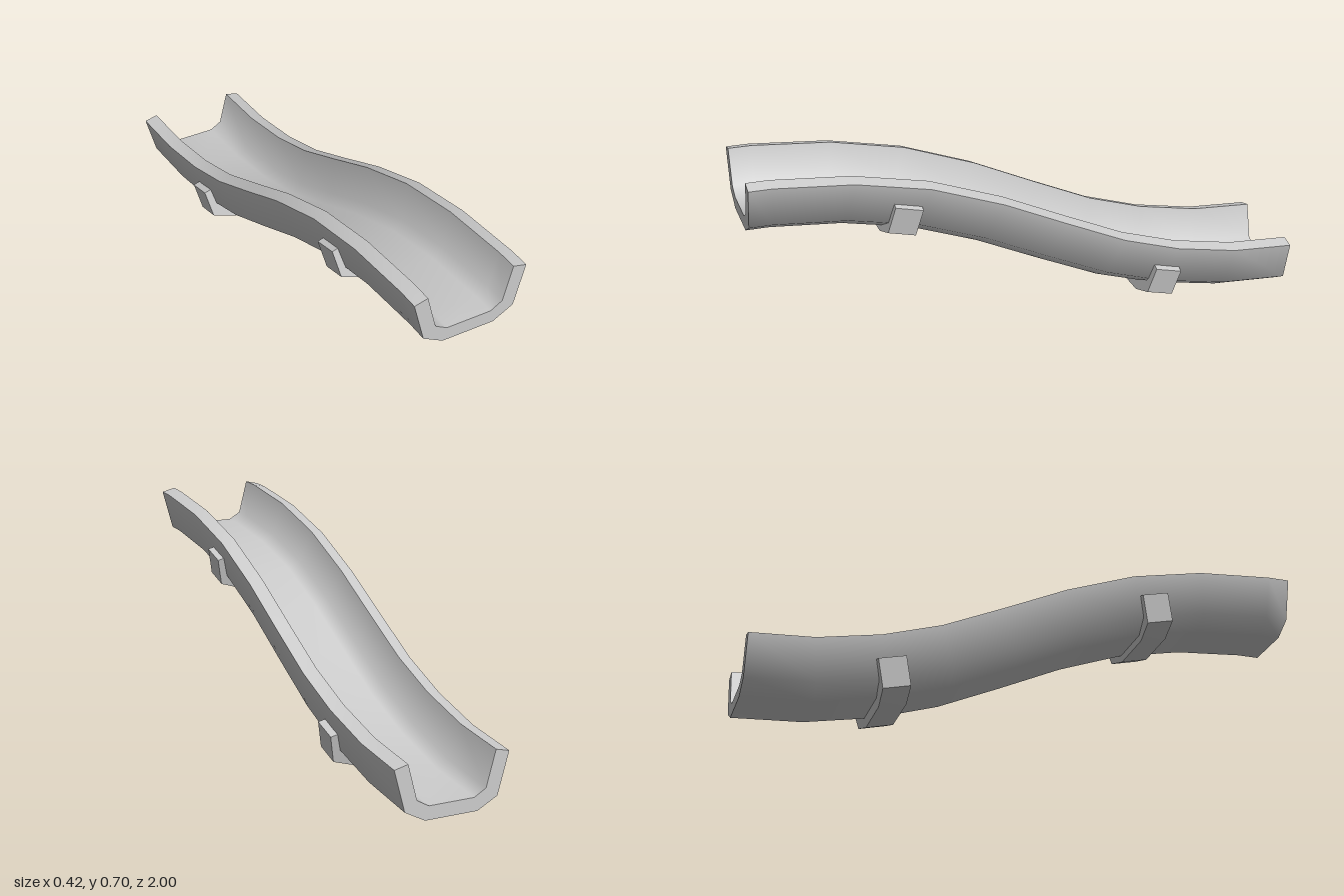
import * as THREE from 'three';
import { toCreasedNormals } from 'three/addons/utils/BufferGeometryUtils.js';

// Closed U-shaped section from the right half (+x) of its outer and inner outlines
function channelSection(outer, inner) {
  const mirror = (pts) => pts.map(([x, h]) => [-x, h]).reverse();
  const innerDown = [...inner].reverse();
  return [...mirror(outer), ...outer, ...innerDown, ...mirror(innerDown)]
    .map(([x, h]) => new THREE.Vector2(x, h));
}

// Sweep a section along stations [z, y, tilt] running from front (+z) to back
function sweep(section, stations, crease) {
  const n = section.length;
  const positions = [];
  const index = [];
  for (const [z, y, tilt] of stations) {
    for (const p of section) {
      positions.push(p.x, y + p.y * Math.cos(tilt), z - p.y * Math.sin(tilt));
    }
  }
  for (let i = 0; i < stations.length - 1; i++) {
    for (let j = 0; j < n; j++) {
      const a = i * n + j;
      const b = i * n + (j + 1) % n;
      index.push(a, a + n, b, b, a + n, b + n);
    }
  }
  // end caps
  const last = (stations.length - 1) * n;
  for (const [a, b, c] of THREE.ShapeUtils.triangulateShape(section, [])) {
    index.push(a, b, c, last + a, last + c, last + b);
  }
  const geometry = new THREE.BufferGeometry();
  geometry.setAttribute('position', new THREE.Float32BufferAttribute(positions, 3));
  geometry.setIndex(index);
  return toCreasedNormals(geometry, crease);
}

export function createModel() {
  const group = new THREE.Group();
  const material = new THREE.MeshStandardMaterial({ color: 0xcccccc });
  const add = (name, geometry) => {
    const mesh = new THREE.Mesh(geometry, material);
    mesh.name = name;
    group.add(mesh);
  };

  // Chute: S-curved channel, each section square to the path
  const path = [
    [1, 0.502], [0.92, 0.502], [0.67, 0.48], [0.43, 0.43], [0.19, 0.342],
    [-0.04, 0.236], [-0.27, 0.134], [-0.5, 0.062], [-0.75, 0.015], [-1, 0],
  ];
  const stations = path.map(([z, y], i) => {
    if (i < 2 || i === path.length - 1) return [z, y, 0];
    const [z0, y0] = path[i - 1];
    const [z1, y1] = path[i + 1];
    return [z, y, Math.atan2(y0 - y1, z0 - z1)];
  });
  const chuteSection = channelSection(
    [[0.095, 0], [0.168, 0.04], [0.207, 0.187]],
    [[0.082, 0.048], [0.125, 0.073], [0.158, 0.199]],
  );
  add('chute', sweep(chuteSection, stations, 1.05));

  // Straps: short bands wrapped under the chute, sunk slightly into it
  const strapSection = channelSection(
    [[0.097, 0], [0.188, 0.031], [0.21, 0.133]],
    [[0.088, 0.036], [0.158, 0.066], [0.18, 0.141]],
  );
  const tilt = 0.235;
  const half = 0.05;
  const strap = (name, z, y) => {
    const dz = half * Math.cos(tilt);
    const dy = half * Math.sin(tilt);
    add(name, sweep(strapSection, [[z + dz, y + dy, tilt], [z - dz, y - dy, tilt]], 0.4));
  };
  strap('upperStrap', 0.49, 0.42);
  strap('lowerStrap', -0.478, 0.034);

  return group;
}
